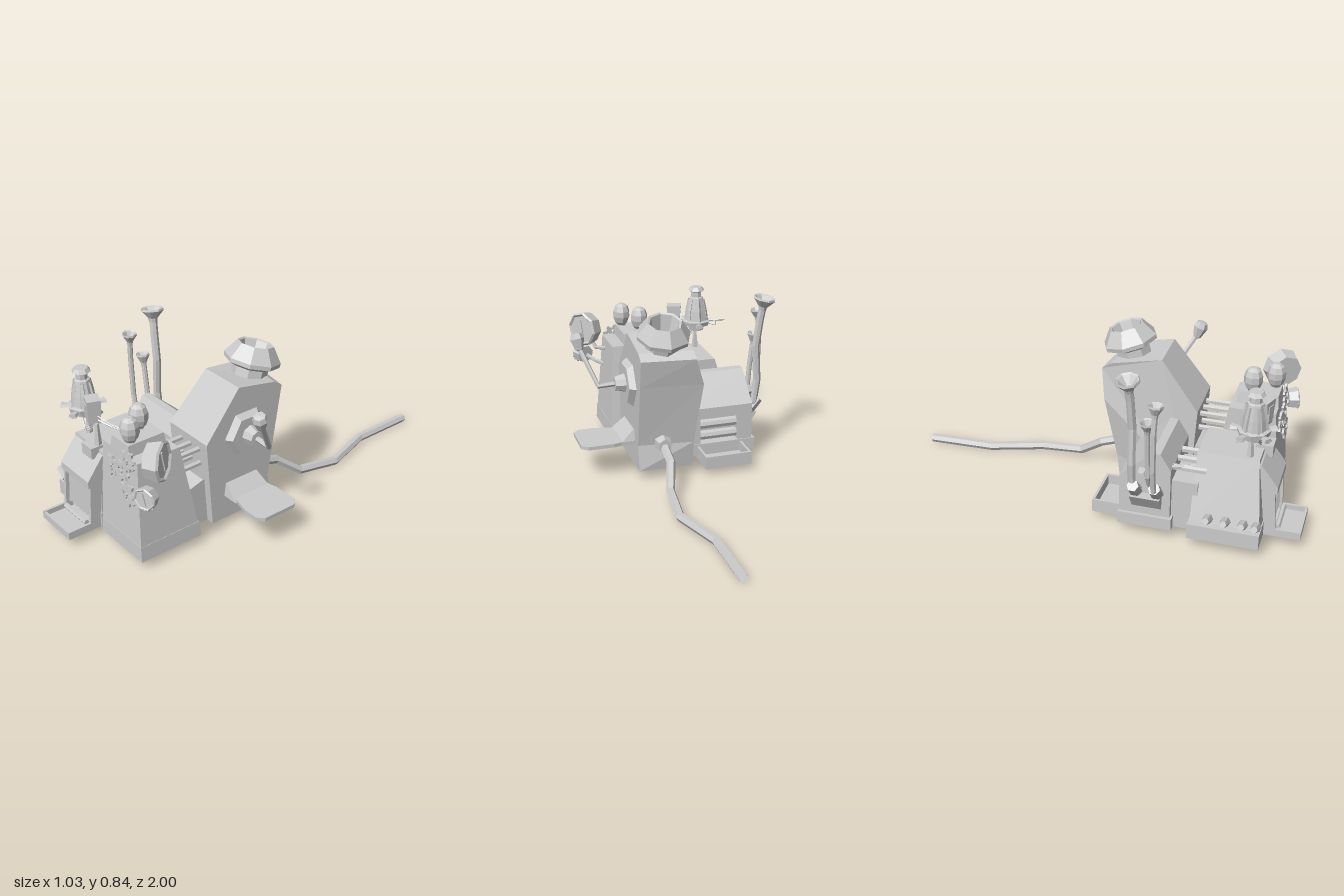
import * as THREE from 'three';

const mat = new THREE.MeshStandardMaterial({ color: 0xcccccc, flatShading: true, side: THREE.DoubleSide });
const V = (x, y, z) => new THREE.Vector3(x, y, z);

export function createModel() {
  const root = new THREE.Group();

  const add = (name, geo, x = 0, y = 0, z = 0, parent = root) => {
    const m = new THREE.Mesh(geo, mat);
    m.name = name;
    m.position.set(x, y, z);
    parent.add(m);
    return m;
  };
  // box given by its limits
  const box = (name, x0, x1, y0, y1, z0, z1) =>
    add(name, new THREE.BoxGeometry(x1 - x0, y1 - y0, z1 - z0), (x0 + x1) / 2, (y0 + y1) / 2, (z0 + z1) / 2);
  // tapered box: bottom and top rectangles as [x0, x1, z0, z1]; hollow ones have no floor
  const taper = (name, y0, y1, b, t, hollow = false) => {
    const g = new THREE.BoxGeometry(1, 1, 1), p = g.attributes.position;
    for (let i = 0; i < p.count; i++) {
      const r = p.getY(i) > 0 ? t : b;
      p.setXYZ(i, p.getX(i) > 0 ? r[1] : r[0], p.getY(i) > 0 ? y1 : y0, p.getZ(i) > 0 ? r[3] : r[2]);
    }
    if (hollow) g.setIndex([...g.index.array].filter((_, i) => i < 18 || i >= 24));
    g.computeVertexNormals();
    return add(name, g);
  };
  // side profile of [z, y] points, extruded from x0 to x1
  const prism = (name, pts, x0, x1) => {
    const g = new THREE.ExtrudeGeometry(new THREE.Shape(pts.map(p => new THREE.Vector2(...p))), { depth: x1 - x0, bevelEnabled: false });
    return add(name, g.rotateY(-Math.PI / 2).translate(x1, 0, 0));
  };
  // angular pipe through the given points
  const pipe = (name, pts, r, sides = 6) => {
    const n = pts.length - 1, c = new THREE.Curve();
    const idx = u => Math.round(u * n);
    c.getPointAt = u => pts[idx(u)].clone();
    c.getTangentAt = u => {
      const i = idx(u), t = V(0, 0, 0);
      if (i > 0) t.add(pts[i].clone().sub(pts[i - 1]).normalize());
      if (i < n) t.add(pts[i + 1].clone().sub(pts[i]).normalize());
      return t.normalize();
    };
    return add(name, new THREE.TubeGeometry(c, n, r, sides));
  };
  const lathe = (name, prof, sides, x, y, z) =>
    add(name, new THREE.LatheGeometry(prof.map(p => new THREE.Vector2(...p)), sides), x, y, z);

  // Hopper tower: chamfered rear corner on one side, bulged rear edge on the other
  const tower = prism('hopperTower', [[.07, .05], [.055, .18], [0, .5], [-.025, .64], [.02, .67], [.26, .71], [.445, .48], [.42, .05]], -.035, .24);
  const tp = tower.geometry.attributes.position;
  for (let i = 0; i < tp.count; i++) {
    const x = tp.getX(i), y = tp.getY(i), z = tp.getZ(i);
    if (x > .1 && z < .06) tp.setZ(i, z + .035);
    if (x < 0 && z < .04 && y > .4) tp.setX(i, y < .6 ? -.07 : -.025);
    if (x < 0 && y > .7) tp.setX(i, 0);
  }
  tower.geometry.computeVertexNormals();

  // Hexagonal side plate, hub and lever
  add('sidePlate', new THREE.CylinderGeometry(.1, .13, .04, 6).rotateZ(-Math.PI / 2), .25, .47, .22);
  add('leverHub', new THREE.CylinderGeometry(.035, .05, .06, 8).rotateZ(-Math.PI / 2), .29, .47, .22);
  pipe('lever', [V(.28, .47, .22), V(.4, .465, .22), V(.465, .63, .315)], .013);
  const knob = lathe('leverKnob', [[0, -.05], [.02, -.04], [.036, .015], [.028, .04], [0, .045]], 7, .472, .665, .33);
  knob.rotation.set(.3, 0, -.15);

  // Leaning funnel on the tower
  const hat = lathe('funnel', [[.085, -.13], [.085, -.035], [.131, -.015], [.133, .005], [.085, .075], [.075, .07], [.05, -.02], [0, -.02]], 8, .108, .744, .075);
  hat.rotation.x = -.29;

  // Bent tail pipe
  add('tailCollar', new THREE.CylinderGeometry(.035, .045, .05, 6).rotateX(-Math.PI / 2), .12, .19, .05);
  pipe('tailPipe', [V(.12, .19, .06), V(.12, .145, -.07), V(.16, .055, -.19), V(.18, .028, -.41), V(.095, .026, -.67), V(.09, .022, -1)], .022);

  // Side shelf and its bracket
  const shelf = new THREE.Shape([[.23, .14], [.31, .14], [.35, .13], [.48, .13], [.51, .16], [.51, .33], [.48, .36], [.4, .36], [.32, .34], [.23, .34]].map(p => new THREE.Vector2(p[0], -p[1])));
  add('sideShelf', new THREE.ExtrudeGeometry(shelf, { depth: .018, bevelEnabled: false }).rotateX(-Math.PI / 2), 0, .17, 0);
  taper('shelfBracket', .175, .24, [.23, .32, .14, .35], [.23, .245, .16, .34]);

  // Furnace block with a framed rear opening
  prism('furnace', [[.24, .05], [.24, .3], [.17, .3], [.32, .44], [.36, .44], [.41, .36], [.41, .05]], -.385, -.05);
  const frame = new THREE.Shape([[-.385, .05], [-.05, .05], [-.05, .3], [-.385, .3]].map(p => new THREE.Vector2(...p)));
  frame.holes.push(new THREE.Path([[-.31, .1], [-.31, .25], [-.11, .25], [-.11, .1]].map(p => new THREE.Vector2(...p))));
  add('furnaceFrame', new THREE.ExtrudeGeometry(frame, { depth: .07, bevelEnabled: false }), 0, 0, .17);
  for (const y of [.14, .2]) {
    add('roller', new THREE.CylinderGeometry(.025, .025, .2, 8).rotateZ(Math.PI / 2), -.21, y, .21);
  }
  box('furnaceSkirt', -.4, -.04, .05, .11, .165, .42);

  // Rear collecting tray
  box('rearTrayFloor', -.33, -.09, .035, .05, .02, .2);
  box('rearTrayBack', -.33, -.09, .05, .1, .02, .032);
  for (const x of [-.33, -.102]) box('rearTraySide', x, x + .012, .05, .1, .02, .18);

  // Links between rear and front blocks
  prism('rightLink', [[.38, .05], [.38, .25], [.44, .28], [.54, .25], [.56, .05]], .0, .2);
  box('leftLink', -.36, -.12, .05, .3, .38, .53);
  for (const x of [.045, .11, .175]) {
    for (const y of [.36, .435]) pipe('linkPipe', [V(x, y, .4), V(x, y, .6)], .014);
  }
  for (const x of [-.32, -.24, -.16]) pipe('leftLinkPipe', [V(x, .35, .38), V(x, .35, .56)], .016);
  pipe('linkRod', [V(-.355, .36, .38), V(-.27, .35, .55)], .011);

  // Front left block
  taper('leftBase', .05, .125, [-.43, -.06, .5, .83], [-.43, -.06, .5, .83], true);
  taper('leftBody', .125, .435, [-.395, -.065, .505, .825], [-.3, -.07, .51, .79], true);
  for (const z of [.59, .67, .75, .81]) {
    add('sidePeg', new THREE.CylinderGeometry(.016, .024, .07, 6).rotateZ(1.2), -.42, .16, z);
  }

  // Grille with hood, bars, roller and front tray
  prism('grilleHood', [[.76, .43], [.8, .415], [.88, .31], [.88, .275], [.76, .275]], -.3, -.07);
  for (const x of [-.3, -.085]) prism('grilleCheek', [[.8, .05], [.885, .05], [.87, .28], [.8, .28]], x, x + .015);
  for (let i = 0; i < 7; i++) {
    pipe('grilleBar', [V(-.272 + i * .029, .1, .86), V(-.272 + i * .029, .29, .845)], .012, 4);
  }
  add('grilleRoller', new THREE.CylinderGeometry(.013, .013, .18, 6).rotateZ(Math.PI / 2), -.185, .085, .89);
  box('frontTrayFloor', -.3, -.07, .05, .062, .5, 1);
  box('frontTrayLip', -.3, -.07, .05, .085, .988, 1);
  for (const x of [-.3, -.082]) box('frontTraySide', x, x + .012, .05, .088, .82, 1);

  // Bell lantern with ribs and a mast
  lathe('lantern', [[0, .53], [.04, .53], [.045, .555], [.072, .56], [.077, .582], [.06, .587], [.052, .64], [.037, .71], [.028, .715], [.028, .742], [.044, .75], [.032, .768], [0, .768]], 8, -.275, 0, .75);
  for (let i = 0; i < 6; i++) {
    const a = i * Math.PI / 3, s = Math.sin(a), c = Math.cos(a);
    pipe('lanternRib', [V(-.275 + s * .056, .585, .75 + c * .056), V(-.275 + s * .049, .64, .75 + c * .049), V(-.275 + s * .036, .7, .75 + c * .036)], .01, 4);
  }
  for (let i = 0; i < 5; i++) {
    const a = i * Math.PI * .4 + .5, g = new THREE.CylinderGeometry(.022, .01, .05, 5).rotateX(Math.PI / 2).scale(1, .6, 1).translate(0, 0, .08);
    add('lanternNozzle', g.rotateY(a), -.275, .57, .75);
  }
  add('lanternMast', new THREE.CylinderGeometry(.008, .02, .12, 5), -.265, .48, .74);
  pipe('lanternRod', [V(-.42, .585, .7), V(-.32, .58, .74)], .005, 4);

  // Tilted meter on its post
  box('meterFoot', -.185, -.105, .395, .45, .75, .83);
  add('meterPost', new THREE.CylinderGeometry(.01, .02, .13, 5), -.125, .49, .78);
  const meter = taper('meter', .55, .67, [-.028, .024, -.027, .027], [-.04, .036, -.032, .032]);
  meter.position.set(-.155, 0, .775);
  meter.rotation.y = -.35;
  add('meterPane', new THREE.BoxGeometry(.04, .07, .008), -.003, .612, .031, meter);

  // Sagging wires
  for (let i = 0; i < 3; i++) {
    pipe('lanternWire', [V(-.27, .54 - i * .012, .77), V(-.23, .5 - i * .01, .78), V(-.18, .51 - i * .008, .78), V(-.15, .56, .775)], .004, 4);
    if (i < 2) pipe('bulbWire', [V(-.125, .59 - i * .02, .77), V(-.07, .56 - i * .01, .74), V(.0, .552 - i * .006, .71), V(.05, .56, .68)], .004, 4);
  }

  // Front right block
  taper('rightBase', .05, .125, [-.04, .275, .515, .84], [-.04, .27, .52, .838], true);
  taper('rightBody', .125, .53, [-.036, .268, .525, .836], [-.03, .235, .59, .81], true);
  taper('bulbPlinth', .53, .585, [.03, .17, .61, .81], [.04, .165, .62, .805]);

  // Ribbed bulbs
  for (const [x, z] of [[.065, .68], [.137, .775]]) {
    lathe('bulb', [[.025, .56], [.022, .59], [.034, .605], [.044, .635], [.044, .665], [.034, .692], [.015, .705], [0, .705]], 8, x, 0, z);
  }

  // Gears on the sloping front
  const gear = r => {
    const s = new THREE.Shape();
    for (let i = 0; i < 32; i++) {
      const a = (i + .5) / 32 * Math.PI * 2, d = i % 4 < 2 ? r : r * .72;
      s[i ? 'lineTo' : 'moveTo'](Math.cos(a) * d, Math.sin(a) * d);
    }
    for (let i = 0; i < 4; i++) {
      const a = i * Math.PI / 2, h = new THREE.Path();
      [[.2, 0], [.52, -.35], [.52, .35]].forEach(([d, o], k) => h[k ? 'lineTo' : 'moveTo'](Math.cos(a + o) * d * r, Math.sin(a + o) * d * r));
      s.holes.push(h);
    }
    return new THREE.ExtrudeGeometry(s, { depth: .01, bevelEnabled: false });
  };
  for (const [x, y, r] of [[.178, .525, .053], [.052, .445, .052], [.135, .455, .052], [.175, .358, .062]]) {
    const z = .836 - (y - .125) * .064;
    add('gear', gear(r), x, y, z + .003).rotation.set(-.064, 0, x * 9);
    add('gearAxle', new THREE.CylinderGeometry(.01, .01, .03, 6).rotateX(Math.PI / 2), x, y, z + .006);
  }

  // Dials on stems
  const dial = (name, pos, dir, r, depth, sides) => {
    const g = new THREE.Group();
    g.name = name;
    g.position.copy(pos);
    g.quaternion.setFromUnitVectors(V(0, 0, 1), dir.normalize());
    root.add(g);
    add('dialCase', new THREE.CylinderGeometry(r, r * .85, depth, sides).rotateX(Math.PI / 2), 0, 0, 0, g);
    add('dialRim', new THREE.TorusGeometry(r * .9, r * .1, 4, sides).rotateZ(Math.PI / 2), 0, 0, depth / 2, g);
    add('dialNeedle', new THREE.BoxGeometry(r * .1, r * 1.1, .006), 0, 0, depth / 2 + .003, g).rotation.z = .3;
  };
  dial('largeDial', V(.33, .585, .78), V(.82, .05, -.57), .093, .065, 8);
  dial('smallDial', V(.337, .428, .835), V(.35, .05, .93), .055, .045, 7);
  pipe('largeDialStem', [V(.21, .47, .74), V(.285, .48, .76), V(.315, .55, .79)], .011);
  pipe('smallDialStem', [V(.22, .37, .76), V(.28, .395, .79), V(.33, .425, .83)], .011);

  // Steam horns: flared mouth and jointed pipe
  const horn = (pts, r, flare, tall) => {
    pipe('hornPipe', pts, r, 7);
    const end = pts[pts.length - 1], d = end.clone().sub(pts[pts.length - 2]).normalize();
    const h = lathe('hornMouth', [[r, -.02], [r * 1.2, 0], [flare, tall * .8], [flare * .95, tall], [flare * .8, tall * .9], [r * .7, .008], [0, .008]], 8, end.x, end.y, end.z);
    h.quaternion.setFromUnitVectors(V(0, 1, 0), d);
  };
  horn([V(-.38, .25, .26), V(-.42, .28, .24), V(-.435, .4, .24), V(-.425, .58, .24), V(-.445, .73, .235), V(-.456, .79, .23)], .02, .057, .048);
  horn([V(-.39, .24, .35), V(-.46, .29, .35), V(-.48, .4, .35), V(-.485, .6, .352), V(-.478, .695, .355)], .013, .036, .045);
  horn([V(-.38, .27, .31), V(-.41, .33, .31), V(-.42, .45, .31), V(-.436, .585, .31)], .013, .034, .045);
  for (const z of [.25, .35]) {
    add('hornSocket', new THREE.CylinderGeometry(.028, .032, .08, 6).rotateZ(.75), -.42, .265, z);
  }
  taper('hornBracket', .15, .225, [-.387, -.38, .23, .37], [-.435, -.38, .23, .37]);
  add('furnaceValve', new THREE.CylinderGeometry(.025, .035, .05, 6).rotateZ(Math.PI / 2), -.4, .33, .28);

  return root;
}
